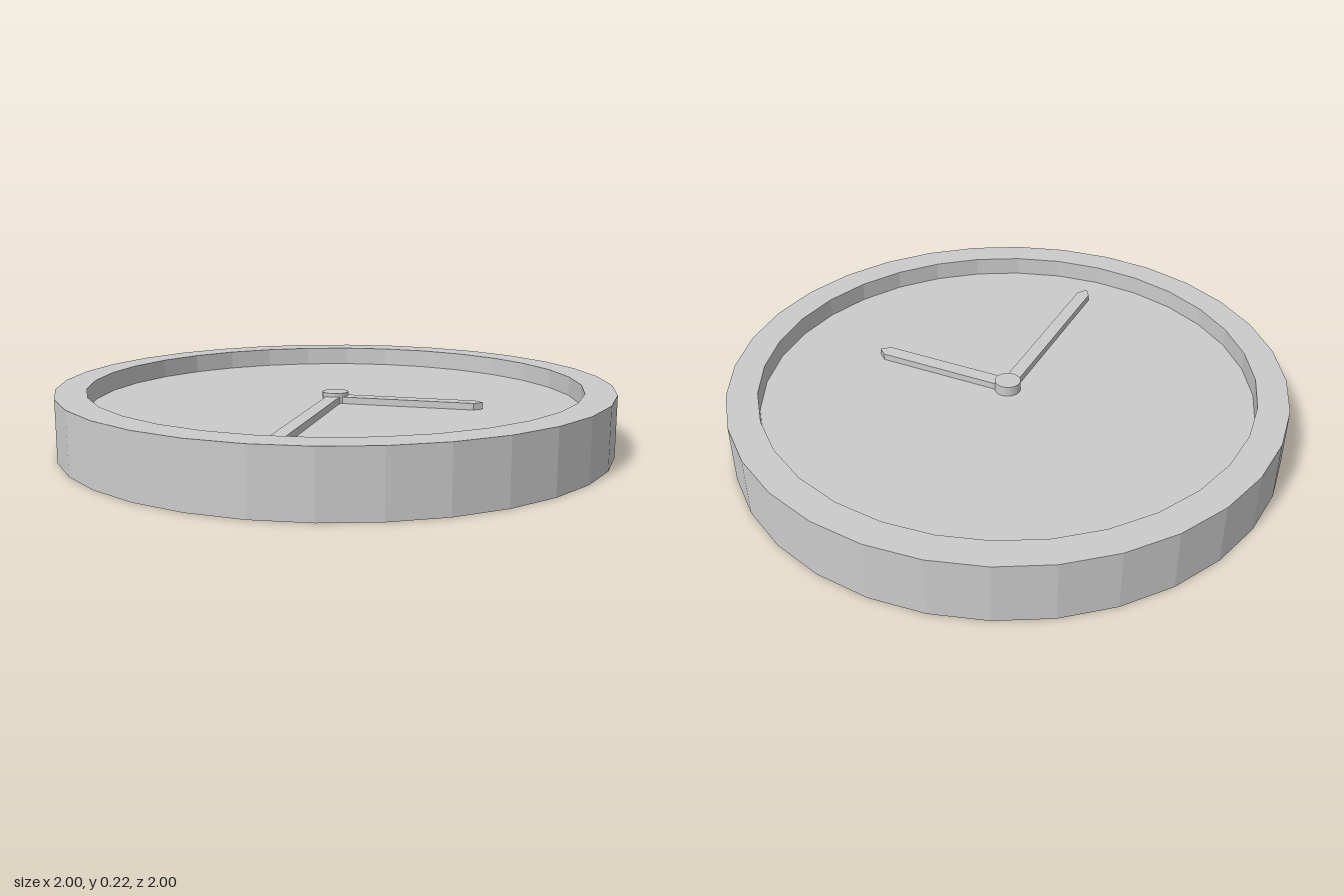
import * as THREE from 'three';

const SIDES = 32, RADIUS = 1, INNER = 0.89, HEIGHT = 0.22, DIAL_Y = 0.15;

export function createModel() {
  const group = new THREE.Group();
  const material = new THREE.MeshStandardMaterial({ color: 0xcccccc, flatShading: true });

  const add = (name, geometry) => {
    const mesh = new THREE.Mesh(geometry, material);
    mesh.name = name;
    group.add(mesh);
    return mesh;
  };

  // Case: flat back, outer wall, rim and inner wall in one profile
  const profile = [[0, 0], [RADIUS, 0], [RADIUS, HEIGHT], [INNER, HEIGHT], [INNER, DIAL_Y]]
    .map(([r, y]) => new THREE.Vector2(r, y));
  add('case', new THREE.LatheGeometry(profile, SIDES));

  // Recessed dial
  const dial = add('dial', new THREE.CircleGeometry(INNER, SIDES));
  dial.rotation.x = -Math.PI / 2;
  dial.position.y = DIAL_Y;

  // Pointed hand lying on the dial, running along +x from the hub
  const addHand = (name, length, halfWidth, taper, thickness) => {
    const shape = new THREE.Shape([
      [0, -halfWidth], [length - taper, -halfWidth], [length, 0],
      [length - taper, halfWidth], [0, halfWidth],
    ].map(([x, y]) => new THREE.Vector2(x, y)));
    const geometry = new THREE.ExtrudeGeometry(shape, { depth: thickness, bevelEnabled: false });
    geometry.rotateX(-Math.PI / 2);
    const hand = add(name, geometry);
    hand.position.y = DIAL_Y;
    return hand;
  };
  addHand('hourHand', 0.54, 0.027, 0.03, 0.024).position.z = 0.005;
  addHand('minuteHand', 0.77, 0.025, 0.04, 0.025).rotation.y = -Math.PI / 2;

  // Central hub pin
  const hub = add('hub', new THREE.CylinderGeometry(0.047, 0.047, 0.038, SIDES));
  hub.position.y = DIAL_Y + 0.019;

  return group;
}
